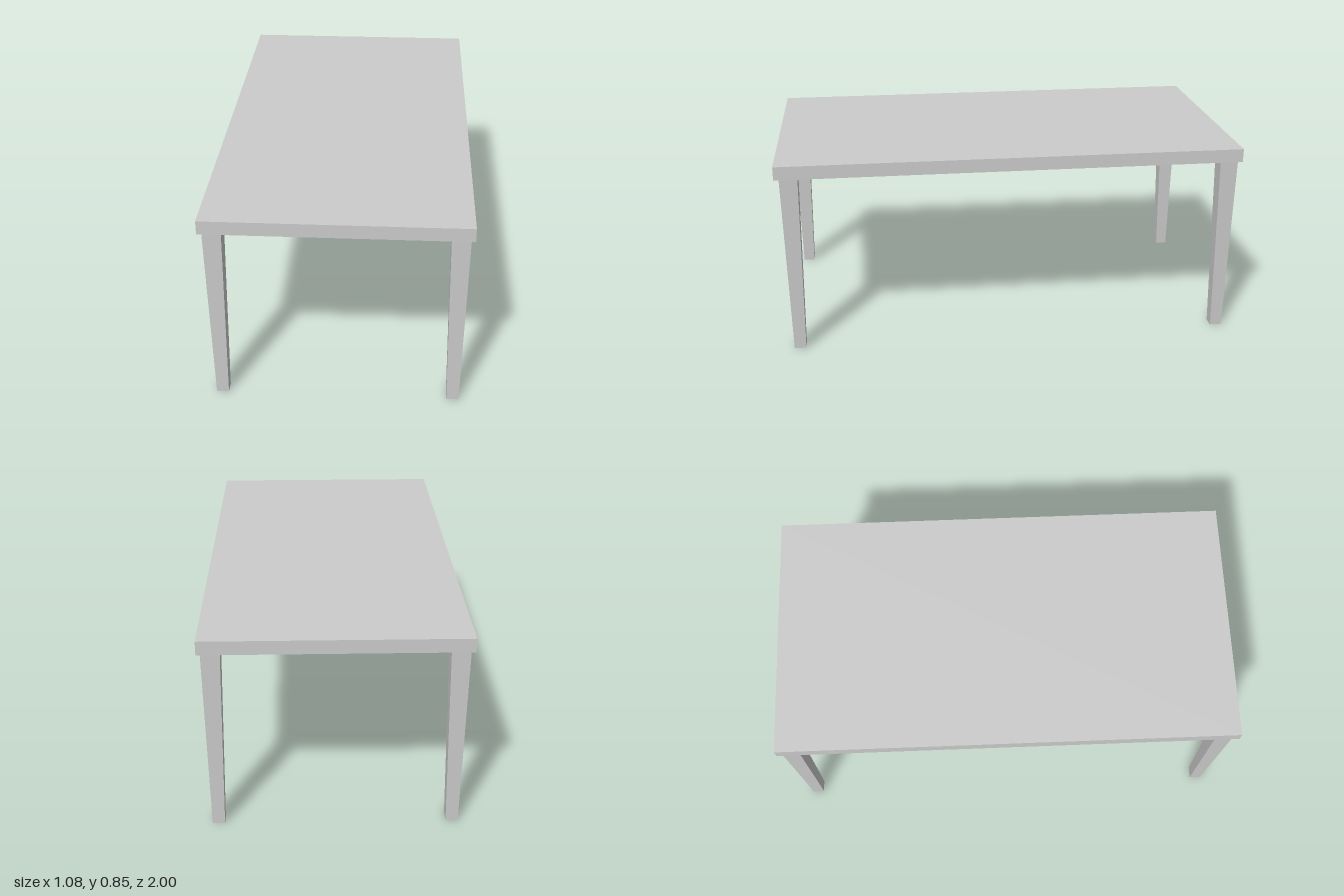
import * as THREE from 'three';

const TOP_Y = 0.853, UNDER_Y = 0.795;

// Square leg that narrows evenly towards the floor
function taperedLeg(topWidth, footWidth, height) {
  const geo = new THREE.BoxGeometry(topWidth, height, topWidth);
  const pos = geo.attributes.position;
  for (let i = 0; i < pos.count; i++) {
    if (pos.getY(i) < 0) {
      const s = footWidth / topWidth;
      pos.setX(i, pos.getX(i) * s);
      pos.setZ(i, pos.getZ(i) * s);
    }
  }
  geo.translate(0, height / 2, 0);
  geo.computeVertexNormals();
  return geo;
}

export function createModel() {
  const group = new THREE.Group();
  group.name = 'table';
  const material = new THREE.MeshStandardMaterial({ color: 0xcccccc, flatShading: true });

  // Table top
  const top = new THREE.Mesh(new THREE.BoxGeometry(1.076, TOP_Y - UNDER_Y, 2), material);
  top.name = 'tableTop';
  top.position.y = (TOP_Y + UNDER_Y) / 2;
  group.add(top);

  // Four legs, one near each corner
  const legGeo = taperedLeg(0.077, 0.051, UNDER_Y);
  for (const [side, x] of [['Left', 0.485], ['Right', -0.484]]) {
    for (const [end, z] of [['front', 0.941], ['back', -0.945]]) {
      const leg = new THREE.Mesh(legGeo, material);
      leg.name = `${end}${side}Leg`;
      leg.position.set(x, 0, z);
      group.add(leg);
    }
  }
  return group;
}
